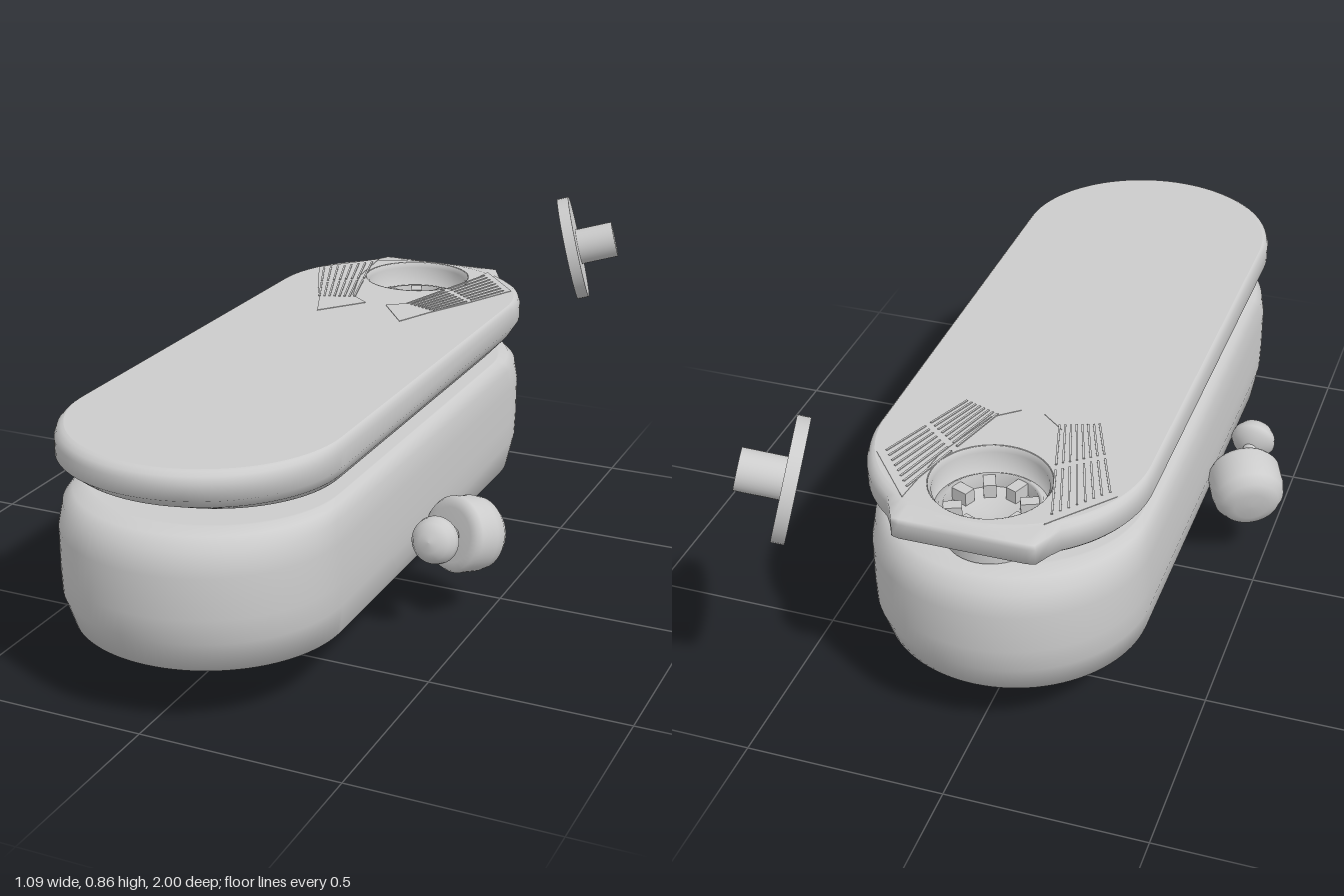
import * as THREE from 'three';

const grey = () => new THREE.MeshStandardMaterial({ color: 0xcccccc, side: THREE.DoubleSide });
const HALF_W = 0.345, HALF_L = 0.91, CENTRE_Z = 0.09, WELL_Z = -0.63;

function add(parent, name, geometry, x = 0, y = 0, z = 0) {
  const mesh = new THREE.Mesh(geometry, grey());
  mesh.name = name;
  mesh.position.set(x, y, z);
  parent.add(mesh);
  return mesh;
}

// Turn a group whose axis is +y so that it points along a direction
function aim(group, x, y, z) {
  group.quaternion.setFromUnitVectors(new THREE.Vector3(0, 1, 0), new THREE.Vector3(x, y, z).normalize());
}

// Round-ended plan outline, as [x, z] pairs
function capsule(scale, n = 48) {
  const pts = [];
  for (const end of [1, -1]) {
    for (let i = 0; i <= n; i++) {
      const a = (i / n) * Math.PI + (end > 0 ? 0 : Math.PI);
      pts.push([
        HALF_W * Math.cos(a) * scale,
        CENTRE_Z + (HALF_W * Math.sin(a) + end * (HALF_L - HALF_W)) * scale,
      ]);
    }
  }
  return pts;
}

// Skin through scaled outlines, given as [height, scale]
function loft(levels, bend = (p) => p) {
  const pos = [], idx = [];
  const n = capsule(1).length;
  levels.forEach(([y, s]) => capsule(s).forEach(([x, z]) => pos.push(...bend([x, y, z], s))));
  for (let l = 0; l < levels.length - 1; l++) {
    for (let i = 0; i < n; i++) {
      const a = l * n + i, b = l * n + ((i + 1) % n);
      idx.push(a, a + n, b, b, a + n, b + n);
    }
  }
  const g = new THREE.BufferGeometry();
  g.setAttribute('position', new THREE.Float32BufferAttribute(pos, 3));
  g.setIndex(idx);
  g.computeVertexNormals();
  return g;
}

const lathe = (pts, n = 40) => new THREE.LatheGeometry(pts.map(([r, y]) => new THREE.Vector2(r, y)), n);

// Swell the rear of the lid into a blunt lip and lift its underside
function rearLip([x, y, z], s) {
  const ax = Math.abs(x);
  if (s >= 0.99 && z < -0.5) z = Math.min(z, -0.82 + 2 * Math.max(0, ax - 0.17));
  if (y < 0.53 && z < -0.4) {
    const t = THREE.MathUtils.smoothstep(-z, 0.45, 0.72) * (1 - THREE.MathUtils.smoothstep(ax, 0.17, 0.27));
    y += (0.533 - y) * t;
  }
  return [x, y, z];
}

function buildLid() {
  const lid = new THREE.Group();
  lid.name = 'lid';
  add(lid, 'lidShell', loft([
    [0.493, 0], [0.493, 0.69], [0.494, 0.7], [0.515, 0.86], [0.552, 0.955], [0.582, 1],
    [0.62, 1], [0.636, 0.99], [0.643, 0.975], [0.645, 0.965],
  ], rearLip));

  // Flat top with the round opening
  const top = new THREE.Shape(capsule(0.965).map(([x, z]) => new THREE.Vector2(x, -z)));
  top.holes.push(new THREE.Path().absarc(0, -WELL_Z, 0.145, 0, Math.PI * 2, true));
  add(lid, 'lidTop', new THREE.ShapeGeometry(top, 32).rotateX(-Math.PI / 2), 0, 0.645, 0);

  // Sunken well with a toothed socket in its floor
  add(lid, 'well', lathe([[0.147, 0.646], [0.137, 0.632], [0.135, 0.55], [0, 0.55]], 48), 0, 0, WELL_Z);
  add(lid, 'socketRing', lathe([[0.135, 0.575], [0.12, 0.585], [0.112, 0.585], [0.112, 0.55]], 48), 0, 0, WELL_Z);
  for (let i = 0; i < 8; i++) {
    const a = ((i + 0.5) * Math.PI) / 4;
    const tooth = add(lid, 'socketTooth', new THREE.BoxGeometry(0.055, 0.035, 0.03),
      Math.cos(a) * 0.095, 0.567, WELL_Z + Math.sin(a) * 0.095);
    tooth.rotation.y = -a;
  }
  add(lid, 'socketBase', new THREE.CylinderGeometry(0.11, 0.11, 0.03, 40), 0, 0.505, WELL_Z);
  return lid;
}

// Fan of thin ridges beside the well
function buildWing(side) {
  const wing = new THREE.Group();
  wing.name = side > 0 ? 'leftWing' : 'rightWing';
  const outline = [[0.17, -0.75], [0.295, -0.6], [0.225, -0.44], [0.165, -0.32], [0.12, -0.21],
    [0.03, -0.33], [0.09, -0.38], [0.15, -0.56]];
  const shape = new THREE.Shape(outline.map(([x, z]) => new THREE.Vector2(side * x, -z)));
  const plate = new THREE.ExtrudeGeometry(shape, { depth: 0.002, bevelEnabled: false });
  add(wing, 'wingPlate', plate.rotateX(-Math.PI / 2), 0, 0.6445, 0);
  for (let k = 0; k < 8; k++) {
    const f = k / 7;
    const a = [0.175 + 0.1 * f, -0.71 + 0.12 * f], b = [0.075 + 0.09 * f, -0.35 + 0.03 * f];
    for (const [s, e] of [[0, 0.46], [0.52, 0.96]]) {
      const at = (t, i) => a[i] + (b[i] - a[i]) * t;
      const dx = at(e, 0) - at(s, 0), dz = at(e, 1) - at(s, 1);
      const ridge = add(wing, 'wingRidge', new THREE.BoxGeometry(0.005, 0.003, Math.hypot(dx, dz)),
        side * at((s + e) / 2, 0), 0.647, at((s + e) / 2, 1));
      ridge.rotation.y = Math.atan2(side * dx, dz);
    }
  }
  return wing;
}

// Tilted drum with a mushroom-headed plunger
function buildKnob(side) {
  const knob = new THREE.Group();
  knob.name = side > 0 ? 'leftKnob' : 'rightKnob';
  const drum = new THREE.Group();
  drum.name = 'drum';
  add(drum, 'drumBody', lathe([[0, -0.074], [0.045, -0.073], [0.075, -0.062], [0.092, -0.038], [0.097, -0.01],
    [0.097, 0.045], [0.09, 0.058], [0.07, 0.063], [0, 0.063]]));
  drum.position.set(side * 0.445, 0.222, 0.112);
  aim(drum, side * -0.4, 0.22, 0.88);
  knob.add(drum);

  const plunger = new THREE.Group();
  plunger.name = 'plunger';
  add(plunger, 'neck', lathe([[0.022, -0.03], [0.022, 0.02], [0.03, 0.025], [0.03, 0.04], [0.019, 0.045], [0.019, 0.09]], 24));
  add(plunger, 'plungerHead', lathe([[0, 0.075], [0.025, 0.077], [0.052, 0.094], [0.06, 0.108], [0.057, 0.125],
    [0.046, 0.143], [0.027, 0.156], [0, 0.16]], 32));
  plunger.position.set(side * 0.422, 0.237, 0.165);
  aim(plunger, 0, 0.24, 0.97);
  knob.add(plunger);
  return knob;
}

// Loose stopper floating behind the lid
function buildStopper() {
  const stopper = new THREE.Group();
  stopper.name = 'stopper';
  add(stopper, 'stopperDisc', new THREE.CylinderGeometry(0.146, 0.146, 0.032, 48));
  add(stopper, 'stopperPeg', new THREE.CylinderGeometry(0.05, 0.05, 0.11, 32), 0, 0.065, 0);
  stopper.position.set(0.39, 0.717, -0.856);
  aim(stopper, 0.92, 0.25, -0.3);
  return stopper;
}

export function createModel() {
  const model = new THREE.Group();
  model.name = 'model';
  // Hull with a shallow pointed underside
  add(model, 'body', loft([
    [0.003, 0], [0.064, 0.715], [0.16, 0.96], [0.24, 0.996], [0.3, 1], [0.4, 1],
    [0.455, 0.982], [0.48, 0.945], [0.488, 0.9], [0.488, 0.89], [0.488, 0],
  ]));
  model.add(buildLid());
  for (const side of [1, -1]) model.add(buildWing(side), buildKnob(side));
  model.add(buildStopper());
  return model;
}
